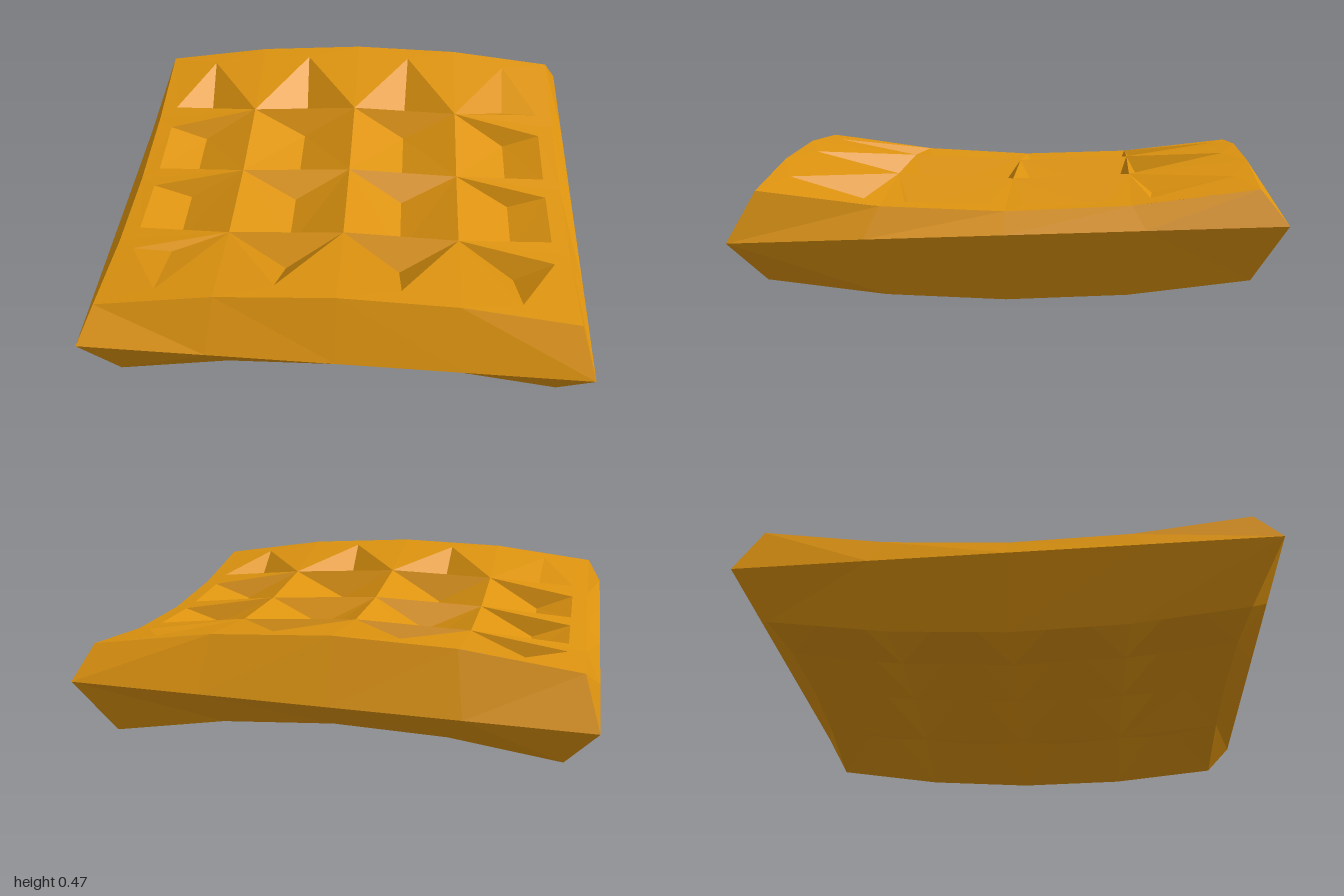
import * as THREE from 'three';

// Saddle-shaped slab with a waffle of troughs on top and pits below.
// Everything is laid out in slab coordinates (u, v), turned slightly about y.
const TURN = 0.068;
const place = (u, v, y) => new THREE.Vector3(u - TURN * v, y, v + TURN * u);

// Height rules of the three levels
const topY = (u, v) => 0.395 + 0.1 * v * v - 0.11 * u * u - 0.014 * u * v;
const seamY = (u, v) => 0.245 - 0.047 * u * v;
const baseY = (u, v) => 0.08 + 0.1 * v * v - 0.131 * u * u - 0.015 * u * v;

const TOP = [0.84, 0.85], SEAM = [0.895, 0.94], BASE = [0.78, 0.83];
const UP = new THREE.Vector3(0, 1, 0), DOWN = new THREE.Vector3(0, -1, 0);

// Collects faces, turning each one so that it looks along the given direction
class Facets {
  constructor() { this.points = []; }
  add(facing, ...corners) {
    for (let i = 1; i < corners.length - 1; i++) {
      const [a, b, c] = [corners[0], corners[i], corners[i + 1]];
      const n = b.clone().sub(a).cross(c.clone().sub(a));
      this.points.push(...(n.dot(facing) < 0 ? [a, c, b] : [a, b, c]));
    }
  }
  mesh(name, material) {
    const g = new THREE.BufferGeometry().setFromPoints(this.points);
    g.computeVertexNormals();
    const m = new THREE.Mesh(g, material);
    m.name = name;
    return m;
  }
}

// One quadrant of the top; su and sv mirror it
function topQuadrant(rim, troughs, su, sv) {
  const P = (u, v, depth = 0) => place(su * u, sv * v, topY(su * u, sv * v) - depth);
  const face = (...c) => rim.add(UP, ...c);
  const wall = (...c) => troughs.add(UP, ...c);
  const k = 0.425, [eu, ev] = TOP;
  const O = P(0, 0), A = P(k, 0), B = P(0, k), R = P(k, k);
  const E0 = P(eu, 0), E1 = P(eu, k), X0 = P(0, ev), X1 = P(k, ev), C = P(eu, ev);

  // inner trough
  const n0 = P(0.21, 0.075, 0.1), n1 = P(0.21, 0.375, 0.11);
  wall(O, A, n0);
  wall(B, R, n1);
  wall(O, n0, n1, B);
  wall(A, n0, n1, R);

  // side trough, cut short by the rim
  const w0 = P(0.777, 0.06), w1 = P(0.777, 0.35);
  const s0 = P(0.63, 0.06, 0.075), s1 = P(0.63, 0.35, 0.08);
  wall(A, w0, s0);
  wall(R, w1, s1);
  wall(A, s0, s1, R);
  wall(w0, s0, s1, w1);
  face(A, E0, w0);
  face(E0, E1, w1, w0);
  face(E1, R, w1);

  // end trough, rising to a tip
  const tip = P(0.22, 0.78), e = P(0.21, 0.498, 0.125);
  wall(B, R, e);
  wall(B, e, tip);
  wall(R, e, tip);
  face(X0, X1, tip);
  face(X0, B, tip);
  face(X1, R, tip);

  // corner trough: nearly flush in two of the corners
  const cTip = P(0.64, 0.78), cW = P(0.777, 0.49);
  const c = P(0.63, 0.5, su * sv > 0 ? 0.1 : 0.025);
  wall(R, cW, c);
  wall(cW, cTip, c);
  wall(cTip, R, c);
  face(E1, cW, R);
  face(E1, C, cW);
  face(C, cTip, cW);
  face(C, X1, cTip);
  face(X1, R, cTip);
}

// Grid of hipped pits covering the underside
function underside(pits) {
  const P = (i, j, rise = 0) => {
    const u = (i / 2 - 1) * BASE[0], v = (j / 2 - 1) * BASE[1];
    return place(u, v, baseY(u, v) + rise);
  };
  for (let i = 0; i < 4; i++) {
    for (let j = 0; j < 4; j++) {
      const a = P(i, j), b = P(i + 1, j), c = P(i + 1, j + 1), d = P(i, j + 1);
      const m = P(i + 0.5, j + 0.35, 0.09), n = P(i + 0.5, j + 0.65, 0.09);
      pits.add(DOWN, a, b, m);
      pits.add(DOWN, d, c, n);
      pits.add(DOWN, a, m, n, d);
      pits.add(DOWN, b, m, n, c);
    }
  }
}

// Bevel between a curved border and the straight seam, on all four sides
function bevel(faces, half, heightOf, steps) {
  const ring = (size, rule, side, t) => {
    const [u, v] = side < 2
      ? [t * size[0], (side ? 1 : -1) * size[1]]
      : [(side === 2 ? -1 : 1) * size[0], t * size[1]];
    return place(u, v, rule(u, v));
  };
  const outward = [[0, -1], [0, 1], [-1, 0], [1, 0]];
  for (let side = 0; side < 4; side++) {
    const dir = new THREE.Vector3(outward[side][0], 0, outward[side][1]);
    for (let i = 0; i < 4; i++) {
      const [s, t] = [steps[i], steps[i + 1]];
      faces.add(dir,
        ring(half, heightOf, side, s), ring(half, heightOf, side, t),
        ring(SEAM, seamY, side, t), ring(SEAM, seamY, side, s));
    }
  }
}

export function createModel() {
  const group = new THREE.Group();
  group.name = 'waffleSlab';
  const golden = new THREE.MeshStandardMaterial({ color: 0xdd930f });
  golden.name = 'golden';

  const rim = new Facets(), troughs = new Facets(), pits = new Facets();
  const upper = new Facets(), lower = new Facets();
  for (const su of [-1, 1]) for (const sv of [-1, 1]) topQuadrant(rim, troughs, su, sv);
  underside(pits);
  bevel(upper, TOP, topY, [-1, -0.503, 0, 0.503, 1]);
  bevel(lower, BASE, baseY, [-1, -0.5, 0, 0.5, 1]);

  group.add(
    rim.mesh('topRim', golden),
    troughs.mesh('topTroughs', golden),
    pits.mesh('undersidePits', golden),
    upper.mesh('upperBevel', golden),
    lower.mesh('lowerBevel', golden));
  return group;
}
